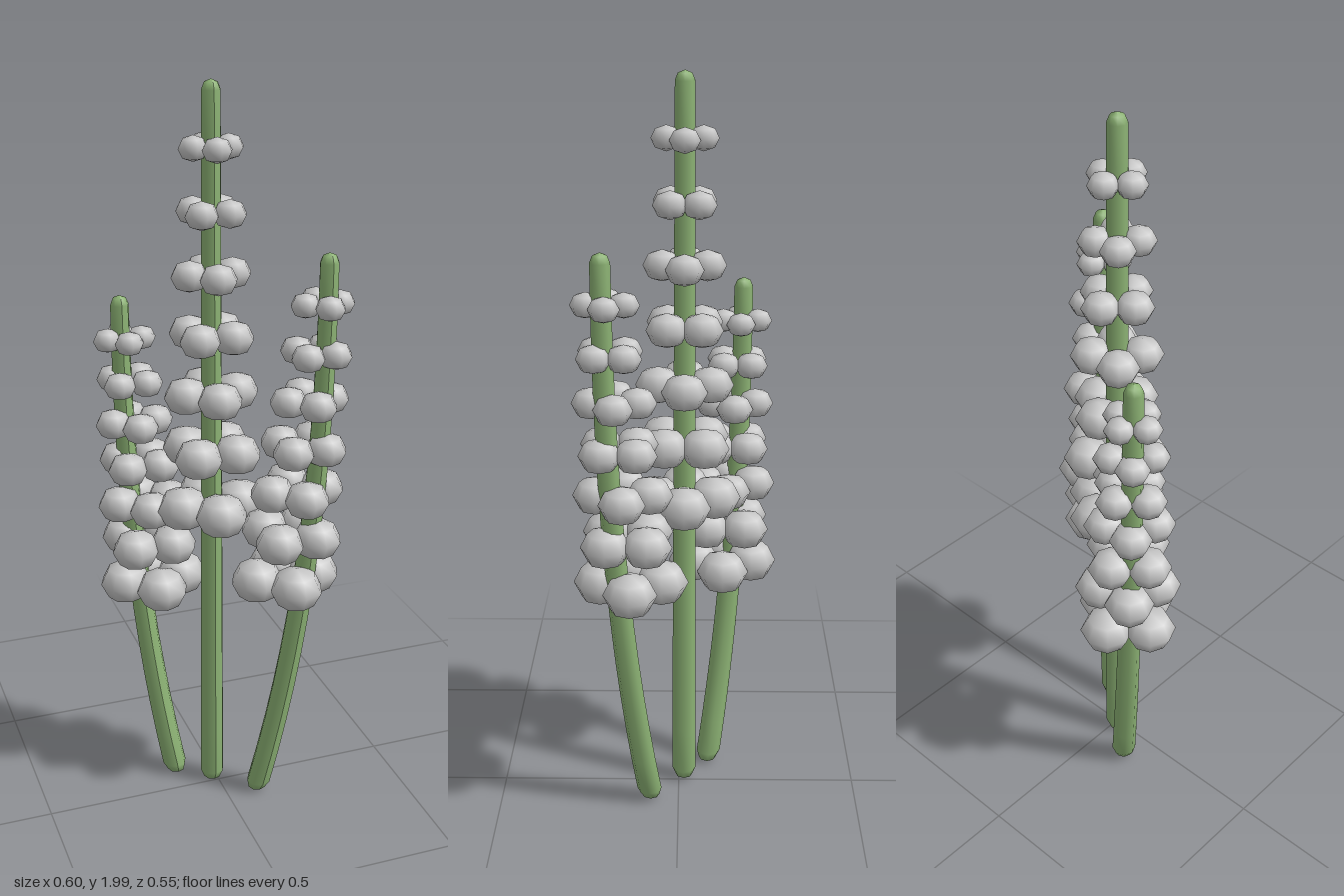
import * as THREE from 'three';

const WHORLS = 7;
const PETALS = 4;

// Tapered, round-ended stalk, bent outwards from its foot to its tip
function stalkGeometry(base, tip, height) {
  const r0 = 0.034, r1 = 0.025, y0 = 0.01;
  const pts = [];
  for (const a of [0, 0.5, 1]) {
    const t = a * Math.PI / 2;
    pts.push(new THREE.Vector2(r0 * Math.sin(t), y0 + r0 * (1 - Math.cos(t))));
  }
  const bottom = y0 + r0, top = height - r1;
  for (let i = 1; i <= 14; i++) {
    const t = i / 14;
    pts.push(new THREE.Vector2(r0 + (r1 - r0) * t, bottom + (top - bottom) * t));
  }
  for (const a of [0.5, 1]) {
    const t = a * Math.PI / 2;
    pts.push(new THREE.Vector2(Math.max(0, r1 * Math.cos(t)), top + r1 * Math.sin(t)));
  }
  const geo = new THREE.LatheGeometry(pts, 8);
  const pos = geo.attributes.position;
  for (let i = 0; i < pos.count; i++) {
    const t = Math.min(1, Math.max(0, pos.getY(i) / height));
    const f = 1 - Math.pow(1 - t, 2.3);
    pos.setX(i, pos.getX(i) + base[0] + (tip[0] - base[0]) * f);
    pos.setZ(i, pos.getZ(i) + base[1] + (tip[1] - base[1]) * f);
  }
  geo.computeVertexNormals();
  return geo;
}

export function createModel() {
  const model = new THREE.Group();
  model.name = 'flowerSpikes';
  const green = new THREE.MeshStandardMaterial({ name: 'stalk green', color: 0x8cb274 });
  const grey = new THREE.MeshStandardMaterial({ name: 'blossom grey', color: 0xc6c6c6 });
  const blossom = new THREE.SphereGeometry(1, 8, 4);

  // Foot and tip as [x, z]
  const spikes = [
    { name: 'middleSpike', base: [-0.015, -0.015], tip: [-0.015, -0.015], height: 2.0 },
    { name: 'leftSpike', base: [0.085, 0.075], tip: [0.221, 0.184], height: 1.605 },
    { name: 'rightSpike', base: [-0.1, -0.08], tip: [-0.213, -0.172], height: 1.445 },
  ];

  for (const { name, base, tip, height } of spikes) {
    const spike = new THREE.Group();
    spike.name = name;
    const stalk = new THREE.Mesh(stalkGeometry(base, tip, height), green);
    stalk.name = 'stalk';
    spike.add(stalk);

    // Rings of blossoms, shrinking upwards, every other ring turned by half a step
    for (let i = 0; i < WHORLS; i++) {
      const k = i / (WHORLS - 1);
      const t = 0.444 + (0.919 - 0.444) * k;
      const ring = 0.08 - 0.034 * k;
      const size = 0.071 - 0.032 * k;
      const whorl = new THREE.Group();
      whorl.name = 'blossomRing';
      whorl.position.set(
        base[0] + (tip[0] - base[0]) * t,
        height * t,
        base[1] + (tip[1] - base[1]) * t
      );
      for (let j = 0; j < PETALS; j++) {
        const a = (j + (i % 2) / 2) * 2 * Math.PI / PETALS;
        const bud = new THREE.Mesh(blossom, grey);
        bud.name = 'blossom';
        bud.position.set(Math.cos(a) * ring, 0, Math.sin(a) * ring);
        bud.rotation.y = -a;
        bud.scale.set(size, size * 0.83, size);
        whorl.add(bud);
      }
      spike.add(whorl);
    }
    model.add(spike);
  }
  return model;
}
